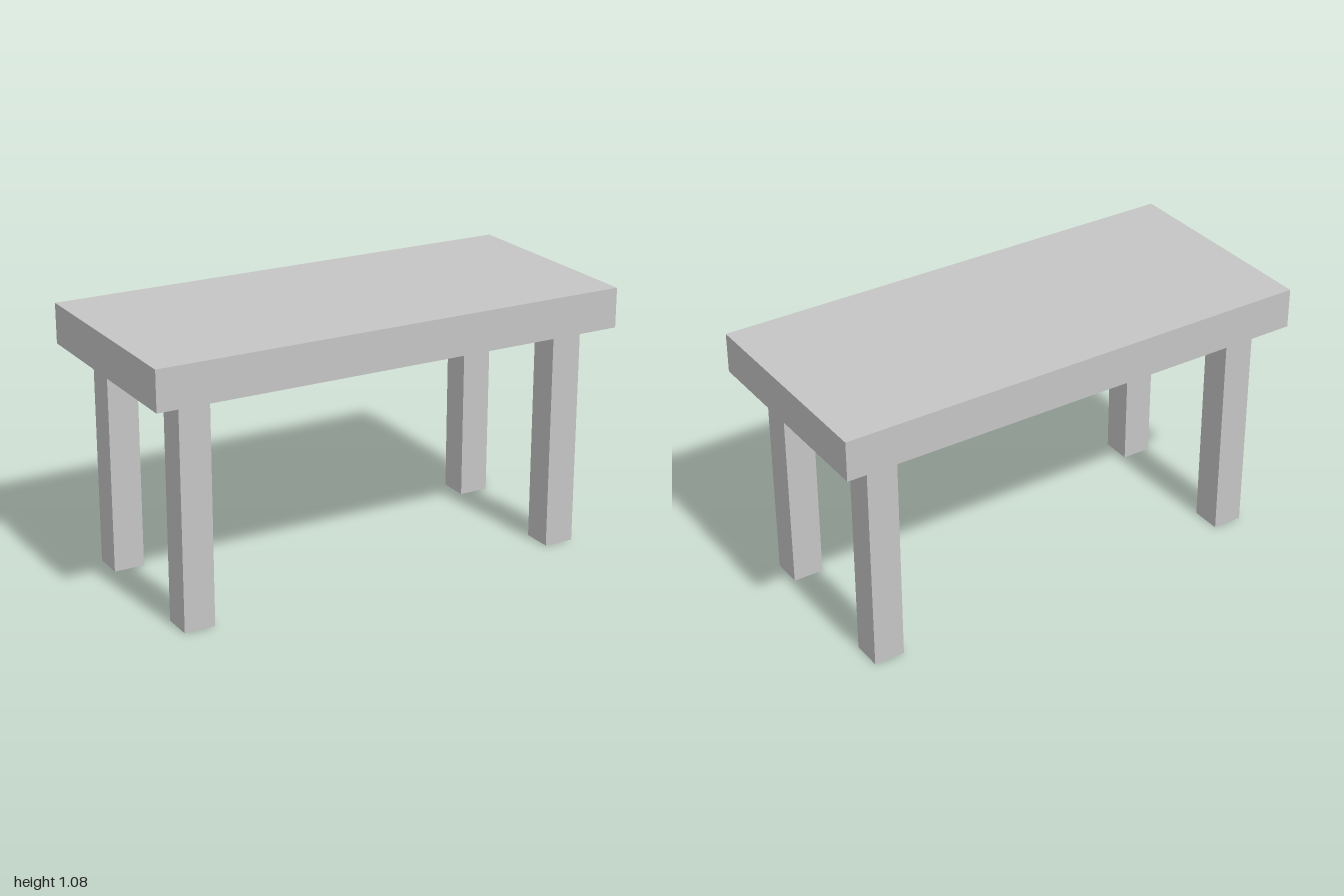
import * as THREE from 'three';

const HEIGHT = 1.082;
const LEG_HEIGHT = 0.918;
const LEG_WIDTH = 0.127;

export function createModel() {
  const table = new THREE.Group();
  table.name = 'table';

  const grey = new THREE.MeshStandardMaterial({ color: 0xc5c5c5 });
  grey.name = 'light grey';

  function addBox(name, size, position) {
    const mesh = new THREE.Mesh(new THREE.BoxGeometry(...size), grey);
    mesh.name = name;
    mesh.position.set(...position);
    table.add(mesh);
  }

  // Thick rectangular slab
  const thickness = HEIGHT - LEG_HEIGHT;
  addBox('tableTop', [2, thickness, 0.909], [0, LEG_HEIGHT + thickness / 2, 0]);

  // Four square legs, inset from the corners
  for (const [xName, x] of [['Left', 0.818], ['Right', -0.818]]) {
    for (const [zName, z] of [['front', 0.319], ['back', -0.319]]) {
      addBox(`${zName}${xName}Leg`, [LEG_WIDTH, LEG_HEIGHT, LEG_WIDTH], [x, LEG_HEIGHT / 2, z]);
    }
  }

  return table;
}
